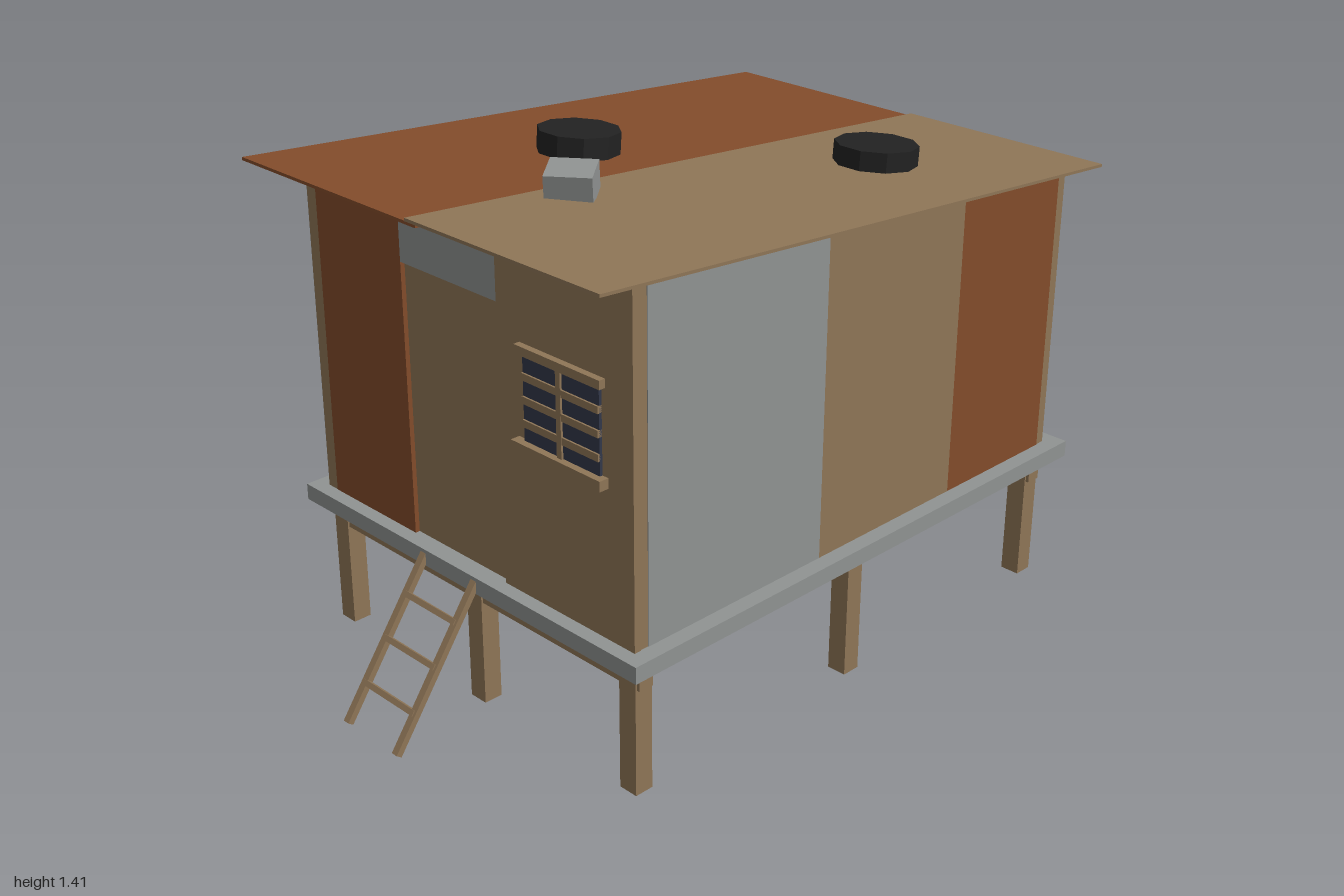
import * as THREE from 'three';

const mat = (name, color) => {
  const m = new THREE.MeshStandardMaterial({ color });
  m.name = name;
  return m;
};

export function createModel() {
  const wood = mat('tan wood', 0x8f7657);
  const rust = mat('rust sheet', 0x834c2b);
  const grey = mat('grey sheet', 0x909392);
  const rubber = mat('black rubber', 0x222222);
  const glass = mat('dark glass', 0x32384a);

  const model = new THREE.Group();
  model.name = 'stiltHut';

  const SLOPE = 0.0765;
  const TILT = Math.atan(SLOPE);
  const roofTop = (z) => 1.362 - SLOPE * (0.83 - z);
  const FLOOR = 0.41;

  const add = (name, geometry, material, parent = model) => {
    const mesh = new THREE.Mesh(geometry, material);
    mesh.name = name;
    parent.add(mesh);
    return mesh;
  };
  // box given by its lower and upper corner
  const box = (name, material, x0, x1, y0, y1, z0, z1, parent = model) => {
    const mesh = add(name, new THREE.BoxGeometry(x1 - x0, y1 - y0, z1 - z0), material, parent);
    mesh.position.set((x0 + x1) / 2, (y0 + y1) / 2, (z0 + z1) / 2);
    return mesh;
  };
  // upright slab along z whose top follows the roof; xOuter is its +x face
  const slopedSlab = (name, material, xOuter, depth, z0, z1) => {
    const shape = new THREE.Shape([
      new THREE.Vector2(z0, FLOOR),
      new THREE.Vector2(z1, FLOOR),
      new THREE.Vector2(z1, roofTop(z1) - 0.011),
      new THREE.Vector2(z0, roofTop(z0) - 0.011),
    ]);
    const mesh = add(name, new THREE.ExtrudeGeometry(shape, { depth, bevelEnabled: false }), material);
    mesh.rotation.y = -Math.PI / 2;
    mesh.position.x = xOuter;
    return mesh;
  };

  // stilts, cross beams and floor
  for (const z of [0.648, -0.117, -0.883]) {
    for (const x of [-0.567, -0.002, 0.563]) {
      box('stilt', wood, x - 0.028, x + 0.028, 0, 0.365, z - 0.027, z + 0.027);
    }
  }
  for (const z of [0.648, -0.883]) {
    box('crossBeam', wood, -0.6, 0.6, 0.298, 0.365, z - 0.022, z + 0.022);
  }
  box('floorPlatform', grey, -0.645, 0.645, 0.364, FLOOR, -0.964, 0.725);

  // side walls, panel by panel
  const T = 0.02;
  slopedSlab('rightWallPanel', grey, 0.6, T, 0.04, 0.64);
  slopedSlab('rightWallPanel', wood, 0.6, T, -0.48, 0.04);
  slopedSlab('rightWallPanel', rust, 0.6, T, -0.885, -0.48);
  slopedSlab('leftWallPanel', grey, -0.58, T, -0.19, 0.683);
  slopedSlab('leftWallPanel', wood, -0.58, T, -0.914, -0.19);

  // corner posts
  slopedSlab('cornerPost', wood, 0.598, 0.04, 0.64, 0.684);
  slopedSlab('cornerPost', wood, 0.598, 0.04, -0.915, -0.885);
  slopedSlab('cornerPost', wood, -0.56, 0.038, 0.64, 0.684);

  // back wall
  const backTop = roofTop(-0.917) - 0.011;
  box('backWallPanel', grey, 0, 0.565, FLOOR, backTop, -0.917, -0.897);
  box('backWallPanel', rust, -0.6, 0, FLOOR, backTop, -0.917, -0.897);

  // front wall and door
  const frontTop = 1.339;
  box('frontWallPanel', rust, -0.56, -0.22, FLOOR, frontTop, 0.665, 0.685);
  box('frontWallPanel', wood, 0.14, 0.6, FLOOR, frontTop, 0.665, 0.685);
  box('doorHeader', grey, -0.22, 0.14, 1.16, frontTop, 0.665, 0.685);
  box('door', wood, -0.22, 0.13, FLOOR, 1.16, 0.652, 0.672);
  box('doorEdgeStrip', grey, 0.13, 0.14, FLOOR, 1.16, 0.655, 0.675);

  // barred window
  const windowGroup = new THREE.Group();
  windowGroup.name = 'window';
  model.add(windowGroup);
  box('windowPane', glass, 0.238, 0.498, 0.838, 1.06, 0.685, 0.693, windowGroup);
  box('windowLintel', wood, 0.22, 0.51, 1.06, 1.083, 0.683, 0.703, windowGroup);
  box('windowSill', wood, 0.21, 0.517, 0.811, 0.838, 0.683, 0.712, windowGroup);
  for (const y of [0.885, 0.945, 1.005]) {
    box('windowSlat', wood, 0.238, 0.498, y - 0.0095, y + 0.0095, 0.685, 0.698, windowGroup);
  }
  box('windowMullion', wood, 0.358, 0.374, 0.838, 1.06, 0.685, 0.699, windowGroup);

  // two overlapping roof sheets
  const roofSheet = (name, material, x0, x1, lift) => {
    const length = 1.83 / Math.cos(TILT);
    const mesh = add(name, new THREE.BoxGeometry(x1 - x0, 0.008, length), material);
    mesh.rotation.x = -TILT;
    mesh.position.set((x0 + x1) / 2, roofTop(-0.085) - 0.004 + lift, -0.085);
  };
  roofSheet('roofSheetLeft', rust, -0.655, 0.04, -0.003);
  roofSheet('roofSheetRight', wood, 0, 0.655, 0.004);

  // old tyres lying on the roof
  for (const [x, z] of [[-0.24, 0.075], [0.295, -0.487]]) {
    const geo = new THREE.CylinderGeometry(0.112, 0.112, 0.06, 10).rotateY(Math.PI / 10).toNonIndexed();
    geo.computeVertexNormals();
    const tyre = add('roofTyre', geo, rubber);
    tyre.rotation.x = -TILT;
    tyre.position.set(x, roofTop(z) + 0.027, z);
  }

  // tilted block on the roof
  const block = add('roofBlock', new THREE.BoxGeometry(0.12, 0.075, 0.1), grey);
  block.rotation.set(0.16, 0.655, 0, 'YXZ');
  block.position.set(0.08, 1.367, 0.388);

  // ladder leaning on the platform
  const ladder = new THREE.Group();
  ladder.name = 'ladder';
  model.add(ladder);
  const foot = new THREE.Vector2(0.99, 0.008);
  const head = new THREE.Vector2(0.714, 0.4);
  const lean = Math.atan2(foot.x - head.x, head.y - foot.y);
  for (const x of [-0.14, 0.06]) {
    const rail = add('ladderRail', new THREE.BoxGeometry(0.02, foot.distanceTo(head), 0.018), wood, ladder);
    rail.rotation.x = -lean;
    rail.position.set(x, (foot.y + head.y) / 2, (foot.x + head.x) / 2);
  }
  for (const y of [0.102, 0.204, 0.304]) {
    const t = (y - foot.y) / (head.y - foot.y);
    const rung = add('ladderRung', new THREE.BoxGeometry(0.205, 0.015, 0.015), wood, ladder);
    rung.rotation.x = -lean;
    rung.position.set(-0.04, y, foot.x + (head.x - foot.x) * t + 0.005);
  }

  return model;
}
